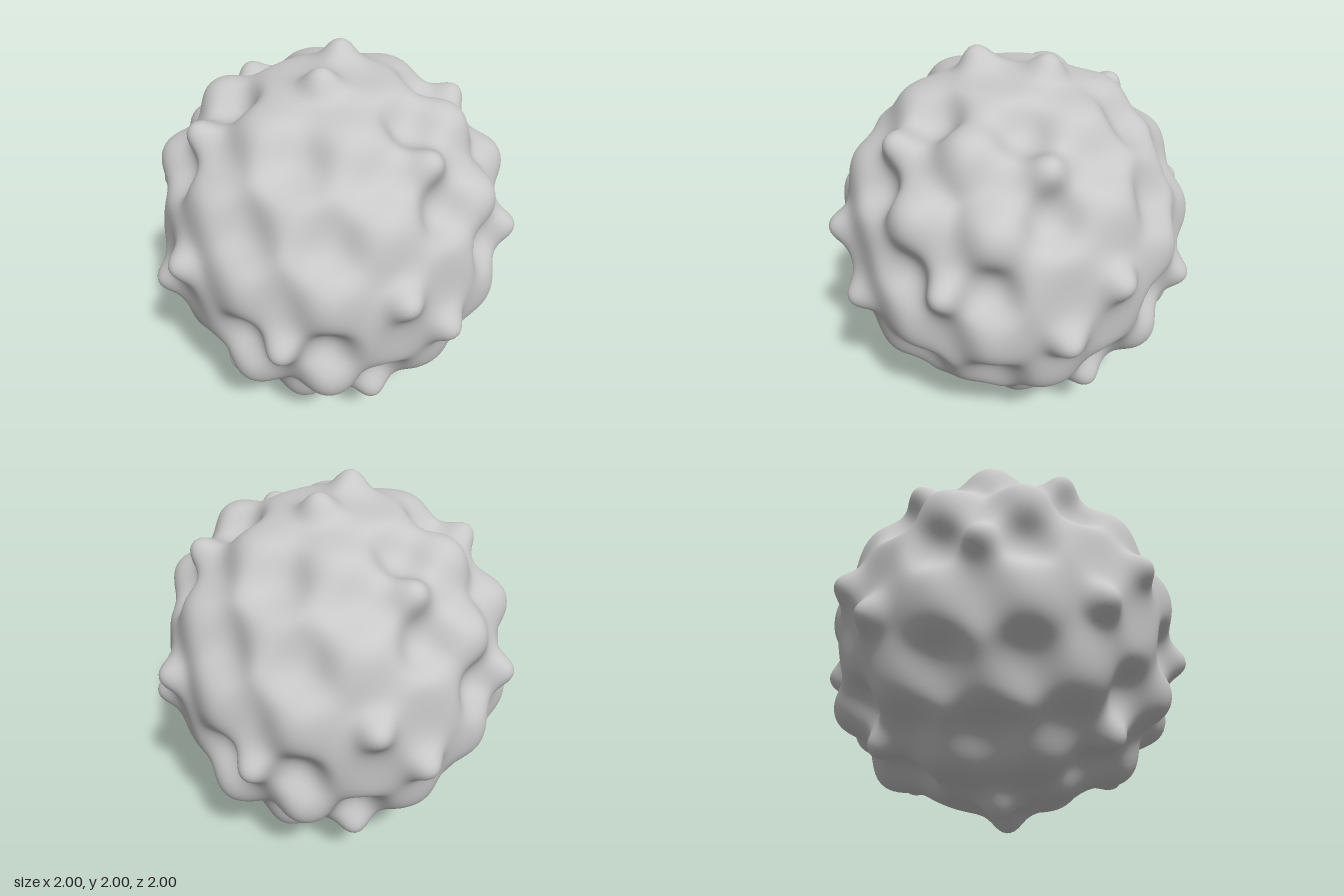
import * as THREE from 'three';
import { mergeVertices } from 'three/addons/utils/BufferGeometryUtils.js';

const RADIUS = 0.931;        // radius of the sphere under the bumps
const BUMP = 0.1 * RADIUS;   // bump height
const FREQ = 10 / RADIUS;    // wave frequency along each axis

// Wave field in space that raises and sinks the surface
const wave = (p) => Math.sin(FREQ * p.x) * Math.sin(FREQ * p.y) * Math.sin(FREQ * p.z);

// Distance along a direction at which r = RADIUS + BUMP * wave, by bisection
function surfaceDistance(direction) {
  const p = new THREE.Vector3();
  let low = RADIUS - BUMP;
  let high = RADIUS + BUMP;
  for (let i = 0; i < 24; i++) {
    const r = (low + high) / 2;
    p.copy(direction).multiplyScalar(r);
    if (r < RADIUS + BUMP * wave(p)) low = r;
    else high = r;
  }
  return (low + high) / 2;
}

// Move every vertex of a fine sphere onto the wavy surface
function bumpySphere(detail) {
  const base = new THREE.IcosahedronGeometry(1, detail);
  base.deleteAttribute('uv');
  base.deleteAttribute('normal');
  const geometry = mergeVertices(base, 1e-5);
  const position = geometry.attributes.position;
  const v = new THREE.Vector3();
  for (let i = 0; i < position.count; i++) {
    v.fromBufferAttribute(position, i).normalize();
    v.multiplyScalar(surfaceDistance(v));
    position.setXYZ(i, v.x, v.y, v.z);
  }
  geometry.computeVertexNormals();
  return geometry;
}

export function createModel() {
  const lightGrey = new THREE.MeshStandardMaterial({ color: 0xc8c8c8 });
  lightGrey.name = 'light grey';

  const group = new THREE.Group();
  group.name = 'bumpy ball';

  // Ball resting on the ground
  const ball = new THREE.Mesh(bumpySphere(50), lightGrey);
  ball.name = 'ball';
  ball.position.y = 1;
  group.add(ball);
  return group;
}
